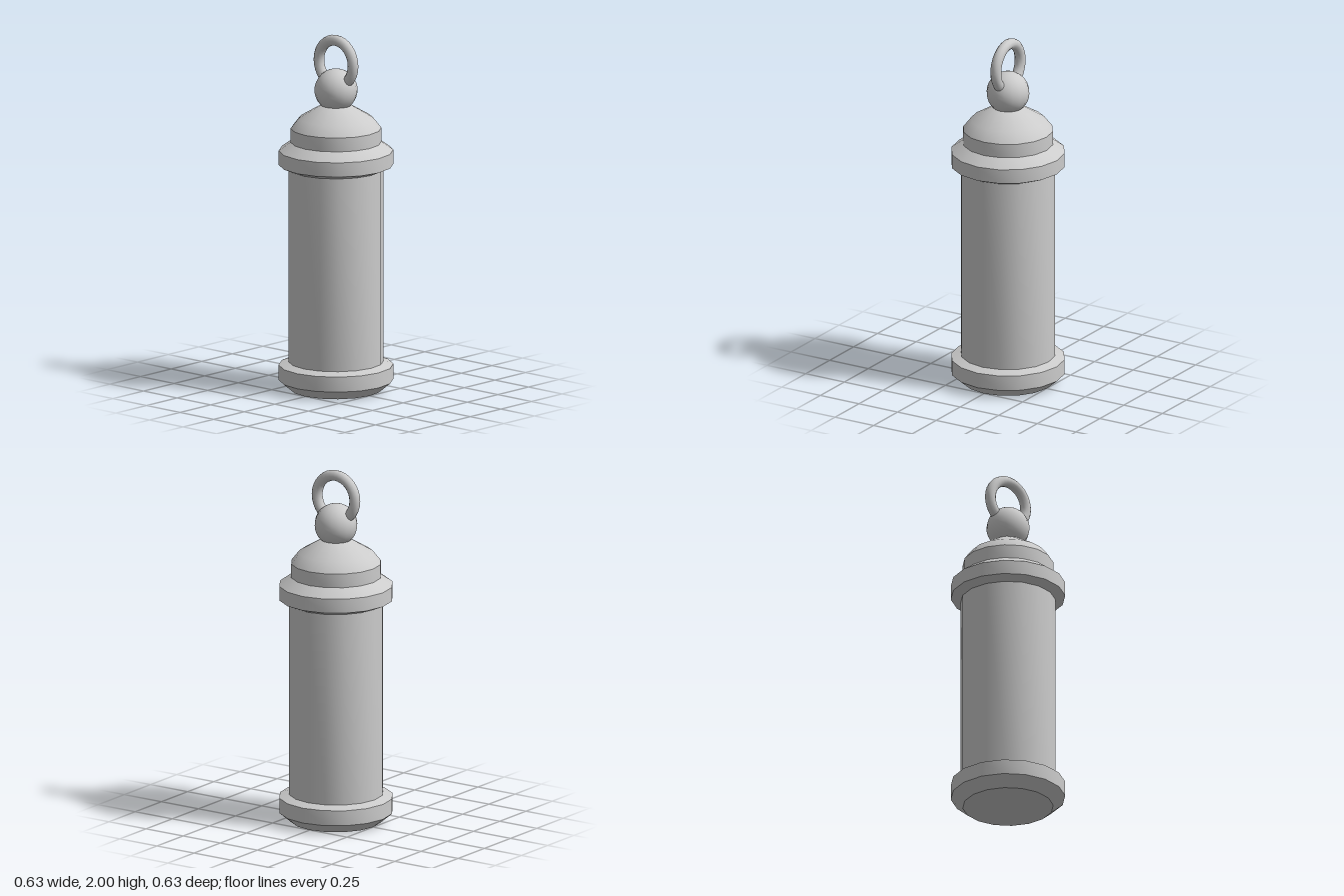
import * as THREE from 'three';
import { toCreasedNormals } from 'three/addons/utils/BufferGeometryUtils.js';

const SIDES = 16;
const CREASE = 0.53;

export function createModel() {
  const group = new THREE.Group();
  const material = new THREE.MeshStandardMaterial({ color: 0xcccccc });

  const add = (name, geometry, y = 0) => {
    const mesh = new THREE.Mesh(geometry, material);
    mesh.name = name;
    mesh.position.y = y;
    group.add(mesh);
  };

  // Turned part from [radius, height] pairs, listed bottom to top
  const turned = (name, profile) => {
    const points = profile.map(([r, y]) => new THREE.Vector2(r, y));
    add(name, toCreasedNormals(new THREE.LatheGeometry(points, SIDES), CREASE));
  };

  // Bevelled foot with a closed underside
  turned('baseRing', [[0, 0], [0.25, 0], [0.316, 0.055], [0.316, 0.14], [0.262, 0.158]]);

  // Long cylindrical body
  turned('body', [[0.262, 0.158], [0.262, 1.247]]);

  // Bevelled collar around the top of the body
  turned('collar', [[0.262, 1.247], [0.316, 1.27], [0.316, 1.35], [0.25, 1.397]]);

  // Cap band and low dome
  turned('capBand', [[0.25, 1.397], [0.25, 1.475]]);
  turned('capDome', [[0.25, 1.475], [0.205, 1.532], [0.08, 1.606], [0, 1.62]]);

  // Ball finial
  add('ball', new THREE.SphereGeometry(0.119, SIDES, 16), 1.69);

  // Hanging ring, set into the ball
  add('hangingRing', new THREE.TorusGeometry(0.127, 0.03, 12, 32), 1.843);

  return group;
}
